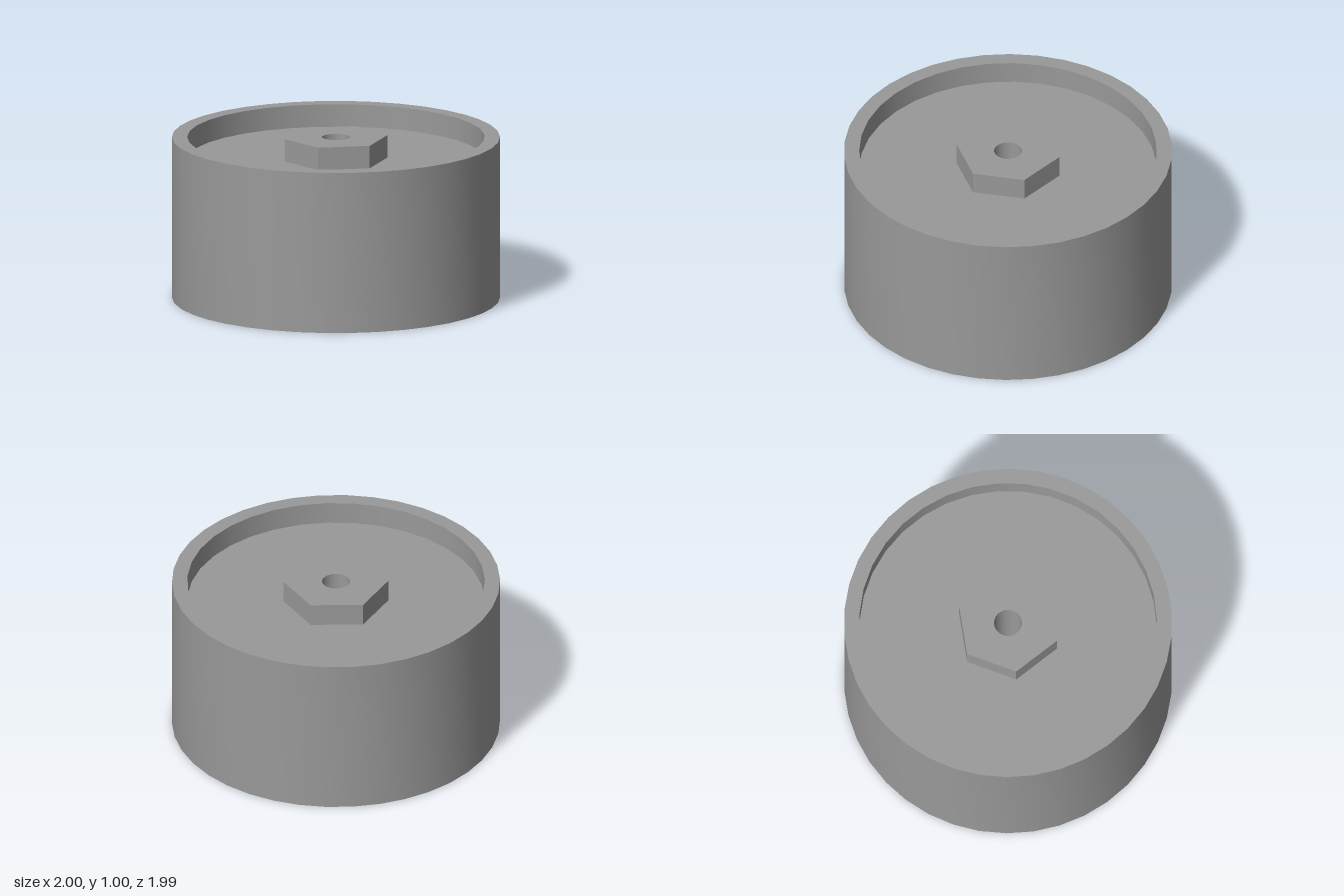
import * as THREE from 'three';
import { toCreasedNormals } from 'three/addons/utils/BufferGeometryUtils.js';

const TIRE_R = 1, RIM_R = 0.907, HUB_R = 0.32, BORE_R = 0.085;
const WIDTH = 1, RECESS = 0.14;

// Regular polygon outline, first corner at the given angle
function polygon(radius, sides, start = 0) {
  return Array.from({ length: sides }, (_, i) => {
    const a = start + (i / sides) * Math.PI * 2;
    return new THREE.Vector2(radius * Math.cos(a), radius * Math.sin(a));
  });
}

// Upright ring between two outlines, from y0 to y1
function ring(name, outer, inner, y0, y1, material) {
  const shape = new THREE.Shape(outer);
  shape.holes.push(new THREE.Path(inner));
  const extruded = new THREE.ExtrudeGeometry(shape, { depth: y1 - y0, bevelEnabled: false });
  extruded.rotateX(-Math.PI / 2).translate(0, y0, 0);
  const mesh = new THREE.Mesh(toCreasedNormals(extruded, Math.PI / 6), material);
  mesh.name = name;
  return mesh;
}

export function createModel() {
  const model = new THREE.Group();
  model.name = 'wheel';
  const darkGrey = new THREE.MeshStandardMaterial({ color: 0x999999 });

  const tread = polygon(TIRE_R, 38);
  const rim = polygon(RIM_R, 35, Math.PI);
  const hex = polygon(HUB_R, 6);
  const bore = polygon(BORE_R, 28);

  model.add(
    // Outer band, full width
    ring('tire', tread, rim, 0, WIDTH, darkGrey),
    // Disc recessed on both faces
    ring('disc', rim, hex, RECESS, WIDTH - RECESS, darkGrey),
    // Hexagonal hub with the axle hole, flush with the band
    ring('hub', hex, bore, 0, WIDTH, darkGrey)
  );
  return model;
}
